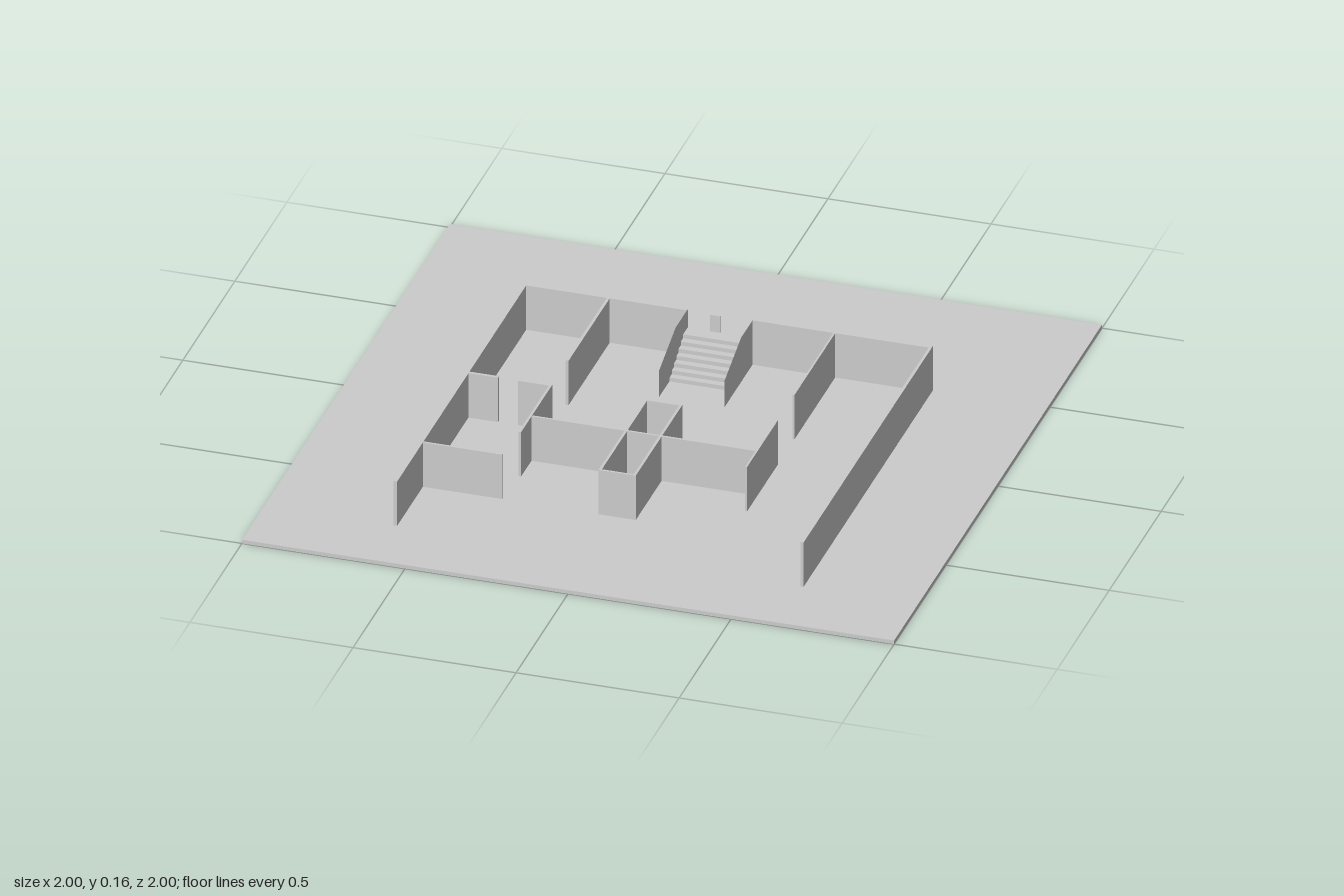
import * as THREE from 'three';

const FLOOR = 0.012;
const TOP = 0.16;

export function createModel() {
  const model = new THREE.Group();
  const grey = new THREE.MeshStandardMaterial({ color: 0xcccccc, flatShading: true });
  const thin = new THREE.MeshStandardMaterial({ color: 0xcccccc, flatShading: true, side: THREE.DoubleSide });

  // Box given by its extents
  function block(name, x0, x1, z0, z1, y0 = FLOOR, y1 = TOP, parent = model) {
    const mesh = new THREE.Mesh(new THREE.BoxGeometry(x1 - x0, y1 - y0, z1 - z0), grey);
    mesh.position.set((x0 + x1) / 2, (y0 + y1) / 2, (z0 + z1) / 2);
    mesh.name = name;
    parent.add(mesh);
  }

  block('groundSlab', -1, 1, -1, 1, 0, FLOOR);

  // Walls running along z: [name, x, z start, z end, thickness]
  const alongZ = [
    ['rightOuterWall', -0.599, -0.467, 0.782, 0.011],
    ['leftOuterWall', 0.645, -0.473, 0.772, 0.009],
    ['rightBackPartition', -0.342, -0.46, -0.064, 0.009],
    ['leftBackPartition', 0.351, -0.46, -0.068, 0.006],
    ['rightMiddlePartition', -0.343, 0.086, 0.388, 0.008],
    ['leftMiddlePartition', 0.351, 0.09, 0.388, 0.006],
    ['coreRightWall', -0.05, 0.09, 0.535, 0.008],
    ['coreLeftWall', 0.056, 0.09, 0.535, 0.008],
  ];
  for (const [name, x, z0, z1, t] of alongZ) block(name, x - t / 2, x + t / 2, z0, z1);

  // Walls running along x: [name, z, x start, x end, thickness]
  const alongX = [
    ['backWallRight', -0.463, -0.6, -0.1, 0.008],
    ['backWallLeft', -0.463, 0.1, 0.645, 0.008],
    ['doorwayWallOuter', 0.091, -0.594, -0.503, 0.01],
    ['doorwayWallInner', 0.091, -0.441, -0.343, 0.01],
    ['frontRoomWall', 0.531, -0.6, -0.35, 0.007],
    ['crossWall', 0.285, -0.343, 0.351, 0.007],
    ['coreBackWall', 0.091, -0.054, 0.06, 0.007],
    ['coreFrontWall', 0.533, -0.054, 0.06, 0.007],
  ];
  for (const [name, z, x0, x1, t] of alongX) block(name, x0, x1, z - t / 2, z + t / 2);

  // Staircase rising towards the gap in the back wall
  const stairs = new THREE.Group();
  stairs.name = 'staircase';
  model.add(stairs);
  const steps = 7, tread = 0.0217, rise = 0.0126, front = -0.29, back = -0.465;
  for (let i = 0; i < steps; i++) {
    const z1 = front - i * tread;
    const z0 = i === steps - 1 ? back : z1 - tread;
    block('step', -0.1, 0.1, z0, z1, FLOOR, FLOOR + (i + 1) * rise, stairs);
  }
  block('landingPost', -0.03, 0.0, -0.468, -0.462, 0.09, 0.155, stairs);

  // Thin parapets on both sides of the stairs, sloping down to the front
  const side = new THREE.Shape([
    [0.465, FLOOR], [0.465, TOP], [0.35, TOP], [0.19, 0.1], [0.19, FLOOR],
  ].map(([z, y]) => new THREE.Vector2(z, y)));
  for (const x of [-0.1, 0.1]) {
    const parapet = new THREE.Mesh(new THREE.ShapeGeometry(side), thin);
    parapet.rotation.y = Math.PI / 2;
    parapet.position.x = x * 1.004;
    parapet.name = 'stairParapet';
    stairs.add(parapet);
  }
  return model;
}
